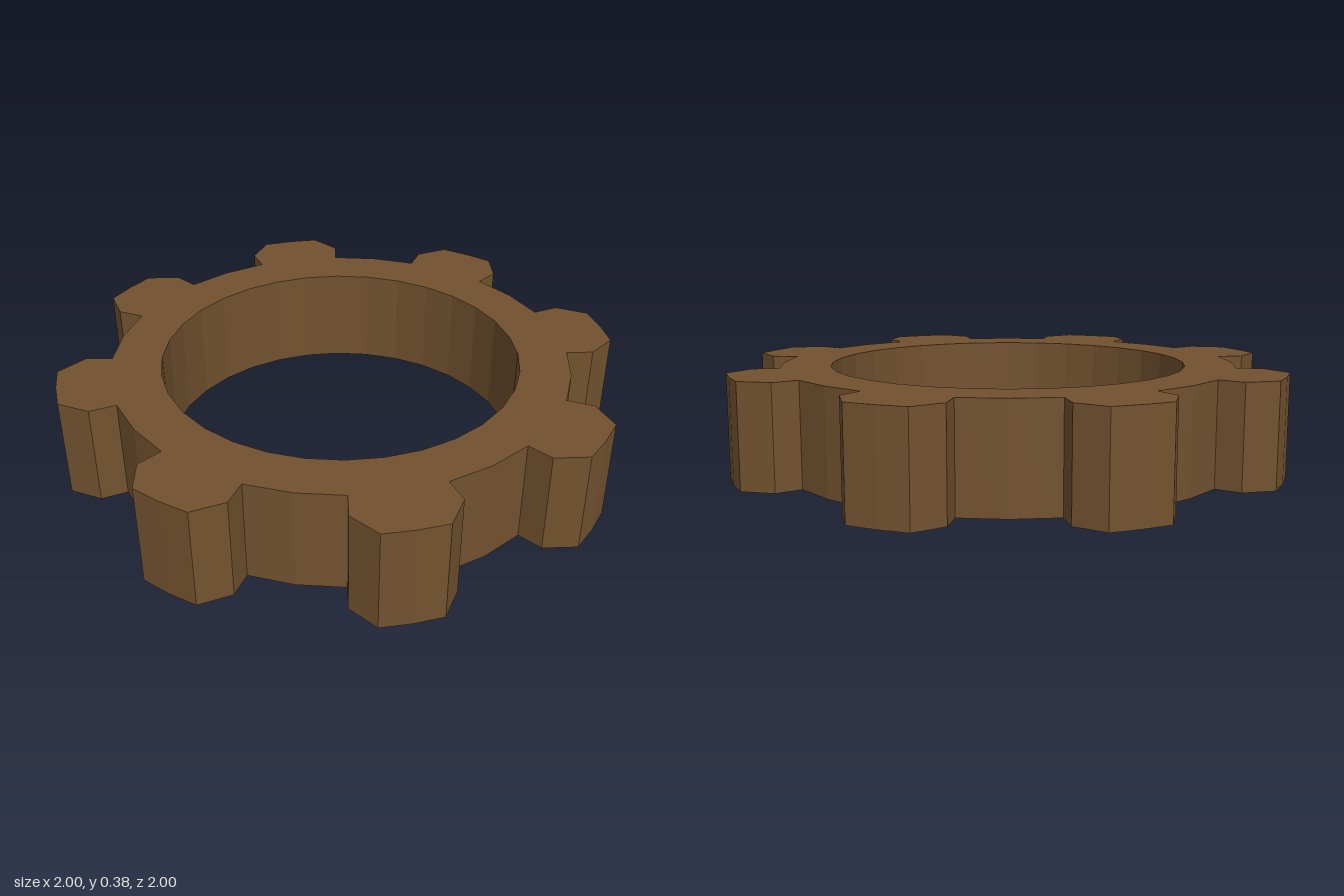
import * as THREE from 'three';

const HEIGHT = 0.38;
const TEETH = 8;
const RIM = 0.85, SHOULDER = 0.949, TIP = 1.041, BORE = 0.665;

// Point at a given radius and angle in degrees
function polar(radius, degrees) {
  const a = THREE.MathUtils.degToRad(degrees);
  return new THREE.Vector2(radius * Math.cos(a), radius * Math.sin(a));
}

export function createModel() {
  const group = new THREE.Group();
  group.name = 'gear';
  const brown = new THREE.MeshStandardMaterial({ color: 0x72522f });
  brown.name = 'brown';

  // One tooth: radius and angle from the tooth centre, ending mid-valley
  const tooth = [
    [RIM, -11.1], [SHOULDER, -11.1], [TIP, -6.1], [TIP, 0],
    [TIP, 6.1], [SHOULDER, 11.1], [RIM, 11.1], [RIM, 22.5],
  ];
  const outline = [];
  for (let i = 0; i < TEETH; i++) {
    const centre = ((i + 0.5) * 360) / TEETH;
    for (const [radius, offset] of tooth) outline.push(polar(radius, centre + offset));
  }

  // Round bore through the middle
  const bore = [];
  for (let i = 0; i < 32; i++) bore.push(polar(BORE, (-i * 360) / 32));

  const shape = new THREE.Shape(outline);
  shape.holes.push(new THREE.Path(bore));

  // Lay the extruded ring flat, standing on y = 0
  const geometry = new THREE.ExtrudeGeometry(shape, { depth: HEIGHT, bevelEnabled: false });
  geometry.rotateX(-Math.PI / 2);

  const ring = new THREE.Mesh(geometry, brown);
  ring.name = 'toothedRing';
  group.add(ring);
  return group;
}
